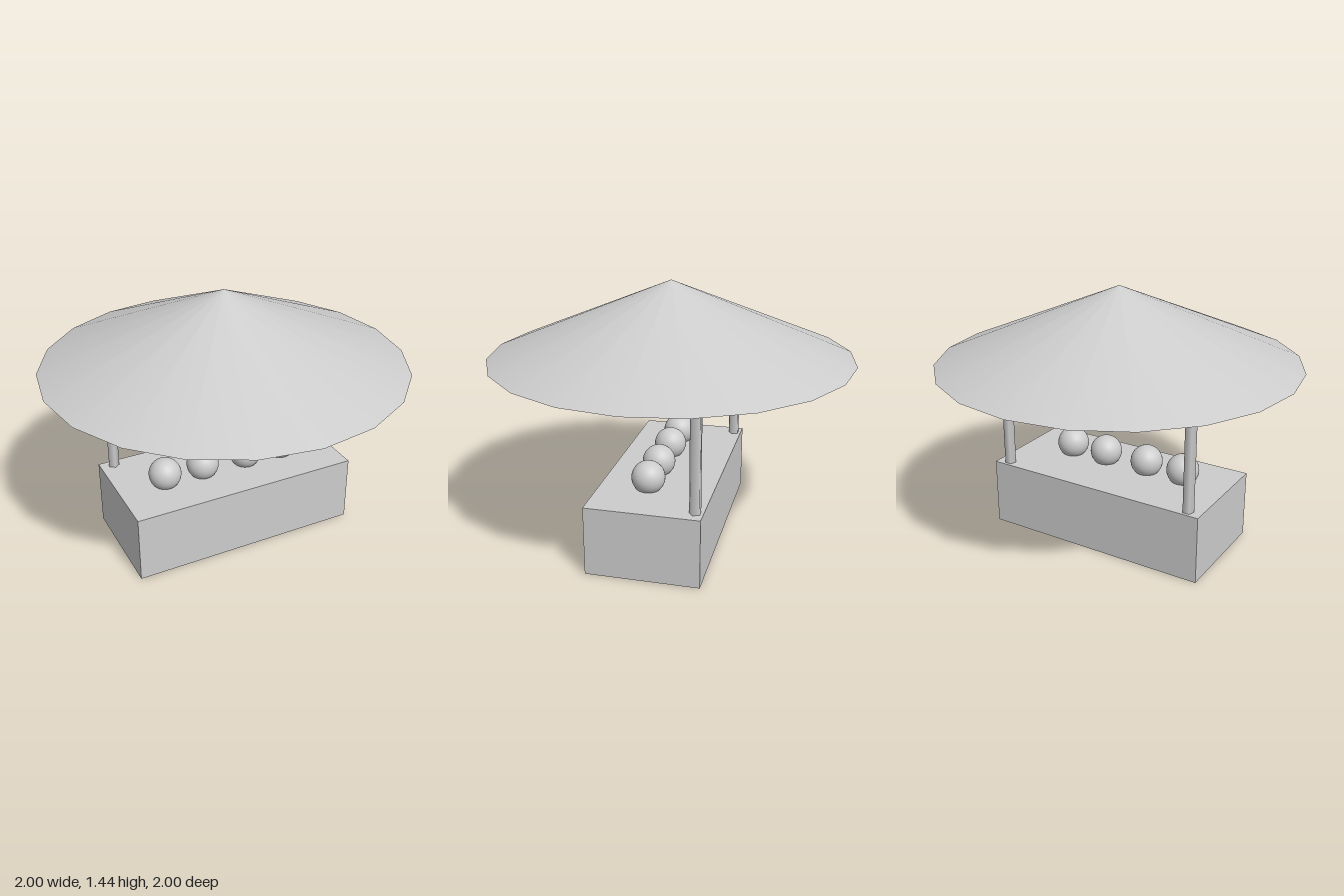
import * as THREE from 'three';

export function createModel() {
  const stall = new THREE.Group();
  stall.name = 'marketStall';
  const grey = new THREE.MeshStandardMaterial({ color: 0xcccccc });
  grey.name = 'light grey';

  const add = (name, geometry, x, y, z) => {
    const mesh = new THREE.Mesh(geometry, grey);
    mesh.name = name;
    mesh.position.set(x, y, z);
    stall.add(mesh);
  };

  // Solid counter
  const counterTop = 0.382;
  add('counter', new THREE.BoxGeometry(1.31, counterTop, 0.615), 0, counterTop / 2, 0);

  // Wide conical roof with a closed underside
  const roofBase = 1.027, roofHeight = 0.417;
  add('roof', new THREE.ConeGeometry(1, roofHeight, 20), 0, roofBase + roofHeight / 2, 0);

  // Five-sided posts along the back edge
  const postHeight = roofBase - counterTop + 0.02;
  const post = new THREE.CylinderGeometry(0.032, 0.032, postHeight, 5);
  add('leftPost', post, 0.578, counterTop - 0.01 + postHeight / 2, -0.265);
  add('rightPost', post, -0.578, counterTop - 0.01 + postHeight / 2, -0.265);

  // Row of balls sunk slightly into the counter
  const ball = new THREE.SphereGeometry(0.091, 32, 20);
  [-0.386, -0.156, 0.114, 0.344].forEach((x, i) => add('ball' + (i + 1), ball, x, 0.446, 0.042));

  return stall;
}
